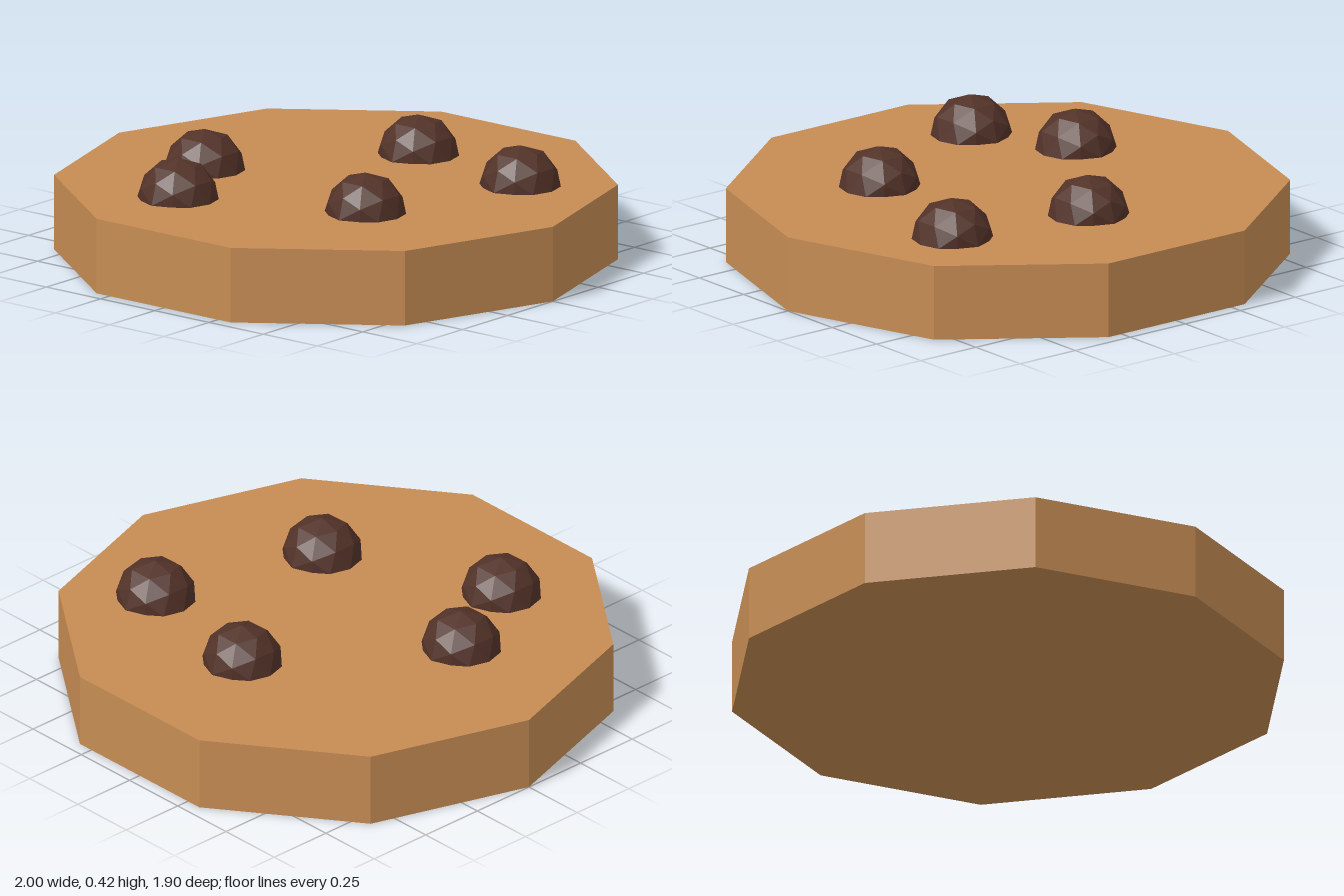
import * as THREE from 'three';

export function createModel() {
  const model = new THREE.Group();
  model.name = 'cookie';

  const dough = new THREE.MeshStandardMaterial({ color: 0xc68c53, flatShading: true });
  dough.name = 'baked dough';
  const chocolate = new THREE.MeshStandardMaterial({ color: 0x523228, flatShading: true });
  chocolate.name = 'dark chocolate';

  // Ten-sided biscuit, turned so corners point along x
  const height = 0.273;
  const base = new THREE.Mesh(
    new THREE.CylinderGeometry(1, 1, height, 10, 1, false, Math.PI / 10), dough);
  base.name = 'biscuit';
  base.position.y = height / 2;
  model.add(base);

  // Faceted chips, half sunk into the top
  const chips = new THREE.Group();
  chips.name = 'chocolateChips';
  const chipGeometry = new THREE.IcosahedronGeometry(0.1455, 1);
  const spots = [[0, -0.4545], [0.5455, -0.3636], [-0.4545, 0.1818], [0.3636, 0.2727], [-0.2727, 0.5455]];
  spots.forEach(([x, z], i) => {
    const chip = new THREE.Mesh(chipGeometry, chocolate);
    chip.name = `chip${i + 1}`;
    chip.position.set(x, height, z);
    chips.add(chip);
  });
  model.add(chips);

  return model;
}
